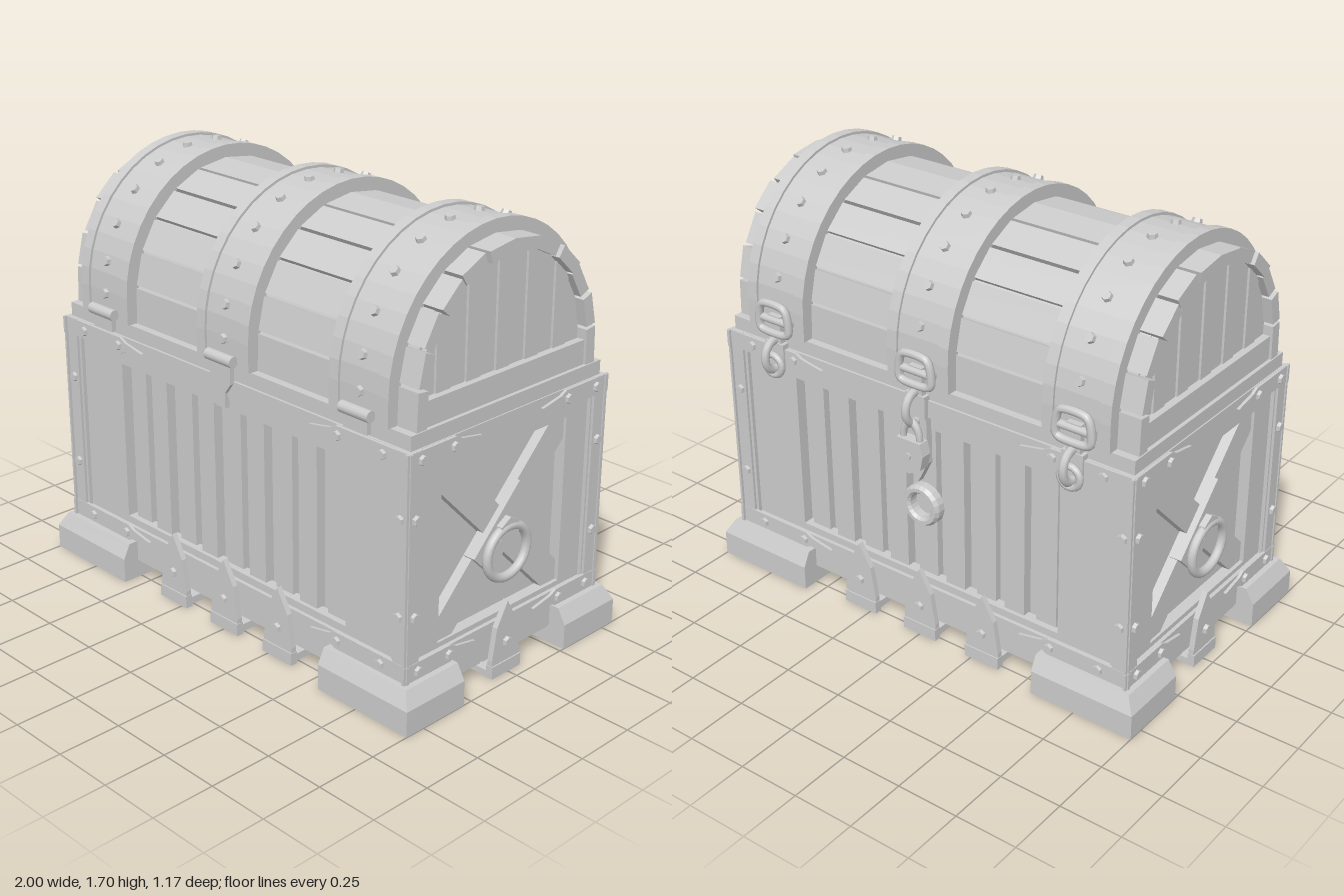
import * as THREE from 'three';

const mat = new THREE.MeshStandardMaterial({ color: 0xcccccc });
const flat = new THREE.MeshStandardMaterial({ color: 0xcccccc, flatShading: true });
const CY = 1.19; // height of the lid's arch centre
const DEG = Math.PI / 180;

function add(parent, name, geo, x = 0, y = 0, z = 0, m = flat) {
  const mesh = new THREE.Mesh(geo, m);
  mesh.name = name;
  mesh.position.set(x, y, z);
  parent.add(mesh);
  return mesh;
}
function group(parent, name) {
  const g = new THREE.Group();
  g.name = name;
  parent.add(g);
  return g;
}
const shape = pts => new THREE.Shape(pts.map(p => new THREE.Vector2(...p)));
const rect = (hw, y0, y1) => [[-hw, y0], [hw, y0], [hw, y1], [-hw, y1]];
const extrude = (s, depth) => new THREE.ExtrudeGeometry(s, { depth, bevelEnabled: false });
function span(parent, name, x0, x1, y0, y1, z0, z1) {
  return add(parent, name, new THREE.BoxGeometry(x1 - x0, y1 - y0, z1 - z0),
    (x0 + x1) / 2, (y0 + y1) / 2, (z0 + z1) / 2);
}
// hexagonal bolt head facing +z
function bolt(parent, x, y, z, r = 0.021) {
  add(parent, 'bolt', new THREE.CylinderGeometry(r * 0.85, r, 0.018, 6).rotateX(Math.PI / 2), x, y, z);
}
// cross-section in the lid's z-y plane, extruded along x and centred
function along(pts, width) {
  return extrude(shape(pts), width).translate(0, 0, -width / 2).rotateY(Math.PI / 2);
}
function arc(r, a0, a1, n) {
  return Array.from({ length: n + 1 }, (_, i) => {
    const a = (a0 + (a1 - a0) * i / n) * DEG;
    return [r * Math.cos(a), r * Math.sin(a)];
  });
}
function arch(r0, r1, foot) {
  return [[r1, foot], ...arc(r1, 0, 180, 22), [-r1, foot], [-r0, foot], ...arc(r0, 180, 0, 22), [r0, foot]];
}

// one wall facing +z, its outer frame face at z = 0
function wall(parent, name, hw, hw2, hw3, yOpen) {
  const g = group(parent, name);
  const ring = (n, w, y0, y1, hole, h0, h1, z, d) => {
    const s = shape(rect(w, y0, y1));
    s.holes.push(new THREE.Path(rect(hole, h0, h1).map(p => new THREE.Vector2(...p))));
    add(g, n, extrude(s, d), 0, 0, z);
  };
  ring('outerFrame', hw, 0.16, 1.03, hw2, 0.22, 0.96, -0.035, 0.035);
  ring('innerFrame', hw2, 0.22, 0.96, hw3, yOpen, 0.905, -0.06, 0.045);
  for (const s of [-1, 1]) {
    // pointed straps on the rails, upright bolts
    for (const y of [0.193, 0.995]) {
      const e = hw + 0.012, L = hw > 0.7 ? 0.485 : 0.37;
      const p = [[e, -0.034], [e, 0.034], [e - L + 0.13, 0.034], [e - L + 0.1, 0.018], [e - L, 0],
        [e - L + 0.1, -0.018], [e - L + 0.13, -0.034]].map(([x, yy]) => [x * s, yy]);
      add(g, 'cornerStrap', extrude(shape(p), 0.012), 0, y, 0);
      for (const d of [hw > 0.7 ? 0.13 : 0.07, L - 0.14]) bolt(g, (e - d) * s, y, 0.016);
    }
    add(g, 'cornerPlate', extrude(shape(rect(0.036, 0.16, 1.03)), 0.01), (hw - 0.026) * s, 0, 0);
    for (const y of [0.41, 0.78]) bolt(g, (hw - 0.035) * s, y, 0.015);
  }
  return g;
}
// pointed plate that wraps up from the floor straps
function wrapPlate(g, x) {
  const p = [[-0.076, 0], [0.076, 0], [0.076, 0.07], [0.054, 0.2], [0, 0.295], [-0.054, 0.2], [-0.076, 0.07]];
  add(g, 'pointedPlate', extrude(shape(p), 0.022), x, 0, 0);
  add(g, 'plateFoot', new THREE.BoxGeometry(0.156, 0.05, 0.03), x, 0.025, 0.012);
  bolt(g, x, 0.13, 0.028);
}

function makeBody(root) {
  const body = group(root, 'body');
  span(body, 'core', -0.86, 0.86, 0.1, 1.0, -0.44, 0.44);
  span(body, 'plinth', -0.925, 0.925, 0.075, 0.22, -0.505, 0.505);
  span(body, 'topRail', -0.925, 0.925, 0.96, 1.03, -0.505, 0.505);
  for (let i = 0; i < 5; i++) {
    const z = -0.4 + i * 0.2;
    span(body, 'floorBoard', -0.92, 0.92, 0.065, 0.08, z - 0.094, z + 0.094);
  }
  // front and back walls with ribbed planks
  for (const s of [1, -1]) {
    const w = wall(body, s > 0 ? 'frontWall' : 'backWall', 0.935, 0.86, 0.62, 0.25);
    w.position.z = 0.51 * s;
    if (s < 0) w.rotation.y = Math.PI;
    for (let i = 0; i < 9; i++) {
      const x = -0.55 + i * 0.1375;
      span(w, 'plank', x - 0.045, x + 0.045, 0.24, 0.92, -0.09, i % 2 ? -0.03 : -0.04);
    }
    for (const x of [-0.3, 0, 0.3]) wrapPlate(w, x);
  }
  // end walls with cross braces and a ring handle
  for (const s of [1, -1]) {
    const w = wall(body, s > 0 ? 'leftWall' : 'rightWall', 0.52, 0.45, 0.332, 0.24);
    w.position.x = 0.93 * s;
    w.rotation.y = s * Math.PI / 2;
    for (const d of [1, -1]) {
      const b = [[-0.33, 0.24], [-0.25, 0.24], [0.33, 0.82], [0.33, 0.905], [0.25, 0.905], [-0.33, 0.325]];
      add(w, 'crossBrace', extrude(shape(b.map(([x, y]) => [x * d, y])), 0.04), 0, 0, d > 0 ? -0.065 : -0.07);
    }
    add(w, 'braceSleeve', new THREE.BoxGeometry(0.33, 0.13, 0.05), 0, 0.58, -0.03).rotation.z = Math.PI / 4;
    add(w, 'handlePlate', new THREE.CylinderGeometry(0.055, 0.055, 0.04, 6).rotateX(Math.PI / 2), 0, 0.575, 0);
    const ring = add(w, 'ringHandle', new THREE.TorusGeometry(0.1, 0.018, 10, 28), 0, 0.49, 0.008, mat);
    ring.scale.x = 1.08;
    wrapPlate(w, 0);
  }
  // straps beneath the floor
  for (const x of [-0.3, 0, 0.3]) span(body, 'floorStrap', x - 0.065, x + 0.065, 0, 0.03, -0.52, 0.52);
  const half = [[0.38, 0.055], [0.45, 0.025], [0.94, 0.025], [0.94, 0], [0.44, 0], [0.37, 0.03]];
  const bent = [...half, ...half.map(([x, y]) => [-x, y]).reverse()];
  add(body, 'longFloorStrap', extrude(shape(bent), 0.15), 0, 0, -0.075);
  // corner feet, sloped on their outer sides
  for (const sx of [1, -1]) for (const sz of [1, -1]) {
    const geo = new THREE.BoxGeometry(0.44, 0.16, 0.295, 1, 2, 1), p = geo.attributes.position;
    for (let i = 0; i < p.count; i++) {
      if (Math.abs(p.getY(i)) < 0.01) p.setY(i, 0.02);
      if (p.getY(i) > 0.07) {
        if (p.getX(i) * sx > 0) p.setX(i, p.getX(i) - 0.035 * sx);
        if (p.getZ(i) * sz > 0) p.setZ(i, p.getZ(i) - 0.03 * sz);
      }
    }
    add(body, 'foot', geo, 0.78 * sx, 0.08, 0.4275 * sz);
  }
}

function makeLid(root) {
  const lid = group(root, 'lid');
  span(lid, 'lidRail', -0.925, 0.925, 1.03, 1.085, -0.5, 0.5);
  add(lid, 'lidCore', along([[0.43, -0.11], ...arc(0.43, 0, 180, 20), [-0.43, -0.11]], 1.72), 0, CY, 0);
  // staves, with a gap between each
  const cuts = [5, 22, 39, 56, 73, 107, 124, 141, 158, 175];
  for (let i = 0; i < cuts.length - 1; i++) {
    const a = cuts[i] + 0.8, b = cuts[i + 1] - 0.8, n = i === 4 ? 2 : 1;
    const len = 1.84 - (i % 2) * 0.02;
    add(lid, 'stave', along([...arc(0.463, a, b, n), ...arc(0.415, b, a, n)], len), 0, CY, 0);
  }
  for (const s of [1, -1]) {
    const p = [[0.468, -0.11], [0.463, 0.035], [0.415, 0.03], [0.42, -0.11]];
    add(lid, 'lowStave', along(p.map(([z, y]) => [z * s, y]), 1.84), 0, CY, 0);
    span(lid, 'endBeam', s > 0 ? 0.84 : -0.91, s > 0 ? 0.91 : -0.84, 1.08, 1.18, -0.417, 0.417);
    // upright boards in the arched ends
    for (let i = 0; i < 11; i++) {
      const z0 = -0.418 + i * 0.076, z1 = z0 + 0.071;
      const top = z => Math.sqrt(Math.max(0, 0.425 ** 2 - z * z));
      add(lid, 'endBoard', along([[z0, -0.02], [z1, -0.02], [z1, top(z1)], [z0, top(z0)]], 0.03),
        s * (0.865 + (i % 2) * 0.006), CY, 0);
    }
  }
  // iron bands with raised rims and bolts
  for (const x of [-0.69, 0, 0.69]) {
    const band = group(lid, 'band');
    band.position.x = x;
    add(band, 'bandStrip', along(arch(0.45, 0.502, -0.105), 0.27), 0, CY, 0);
    for (const s of [1, -1]) add(band, 'bandRim', along(arch(0.455, 0.512, -0.105), 0.045), 0.118 * s, CY, 0);
    for (let k = 0; k < 10; k++) {
      const t = group(band, 'bandBolt');
      t.position.y = CY;
      t.rotation.x = -(13.5 + 17 * k) * DEG;
      bolt(t, 0, 0, 0.508);
    }
    bolt(band, 0, 1.18, 0.508);
    makeFrontClasp(band, x === 0);
    makeBackClasp(band, x === 0);
  }
}

function makeFrontClasp(g, long) {
  add(g, 'claspRoll', new THREE.CylinderGeometry(0.022, 0.022, 0.14, 12).rotateZ(Math.PI / 2), 0, 1.11, 0.52, mat);
  const p = long
    ? [[-0.055, 1.1], [-0.055, 1.02], [-0.025, 0.98], [-0.025, 0.92], [0.025, 0.92], [0.025, 0.98], [0.055, 1.02], [0.055, 1.1]]
    : rect(0.056, 1.04, 1.1);
  add(g, 'claspTab', extrude(shape(p), 0.02), 0, 0, 0.505);
}

// buckle, hanging ring and, in the middle, a padlock
function makeBackClasp(g, locked) {
  const c = [[-0.075, 1.115], [-0.055, 1.2], [0.055, 1.2], [0.075, 1.115], [0.05, 1.09], [-0.05, 1.09]];
  const curve = new THREE.CatmullRomCurve3(c.map(([x, y]) => new THREE.Vector3(x, y, -0.525)), true, 'catmullrom', 0.4);
  add(g, 'buckle', new THREE.TubeGeometry(curve, 36, 0.016, 8, true), 0, 0, 0, mat);
  add(g, 'buckleBar', new THREE.CylinderGeometry(0.016, 0.016, 0.17, 10).rotateZ(Math.PI / 2), 0, 1.14, -0.52, mat);
  span(g, 'buckleTongue', -0.03, 0.03, 1.05, 1.16, -0.525, -0.495);
  add(g, 'chainRing', new THREE.TorusGeometry(0.053, 0.016, 8, 24).rotateY(Math.PI / 2), 0, 1.0, -0.53, mat).scale.y = 1.15;
  span(g, 'staplePlate', -0.045, 0.045, 0.96, 1.05, -0.53, -0.5);
  if (!locked) {
    add(g, 'lowerLink', new THREE.TorusGeometry(0.042, 0.014, 8, 20), 0, 0.96, -0.54, mat);
    return;
  }
  const leaf = [[0, 0.68], [0.045, 0.77], [0.045, 0.97], [-0.045, 0.97], [-0.045, 0.77]];
  add(g, 'haspLeaf', extrude(shape(leaf), 0.03), 0, 0, -0.522);
  const lock = [[-0.055, 0.88], [-0.068, 0.83], [-0.055, 0.77], [0, 0.74], [0.055, 0.77], [0.068, 0.83], [0.055, 0.88]];
  add(g, 'padlock', extrude(shape(lock), 0.045), 0, 0, -0.575);
  add(g, 'shackle', new THREE.TorusGeometry(0.038, 0.013, 8, 16, Math.PI), 0, 0.88, -0.552, mat).scale.y = 1.7;
  add(g, 'keyhole', new THREE.CylinderGeometry(0.014, 0.014, 0.01, 10).rotateX(Math.PI / 2), 0, 0.815, -0.577);
  // round collar on the back planks
  const collar = [[0.05, 0], [0.05, 0.035], [0.06, 0.045], [0.075, 0.045], [0.085, 0.03], [0.085, 0]];
  const geo = new THREE.LatheGeometry(collar.map(p => new THREE.Vector2(...p)).reverse(), 20).rotateX(-Math.PI / 2);
  add(g, 'collar', geo, 0, 0.57, -0.475, new THREE.MeshStandardMaterial({ color: 0xcccccc, flatShading: true, side: THREE.DoubleSide }));
}

export function createModel() {
  const model = new THREE.Group();
  model.name = 'chest';
  const chest = group(model, 'chestParts');
  chest.position.z = 0.01;
  makeBody(chest);
  makeLid(chest);
  return model;
}
